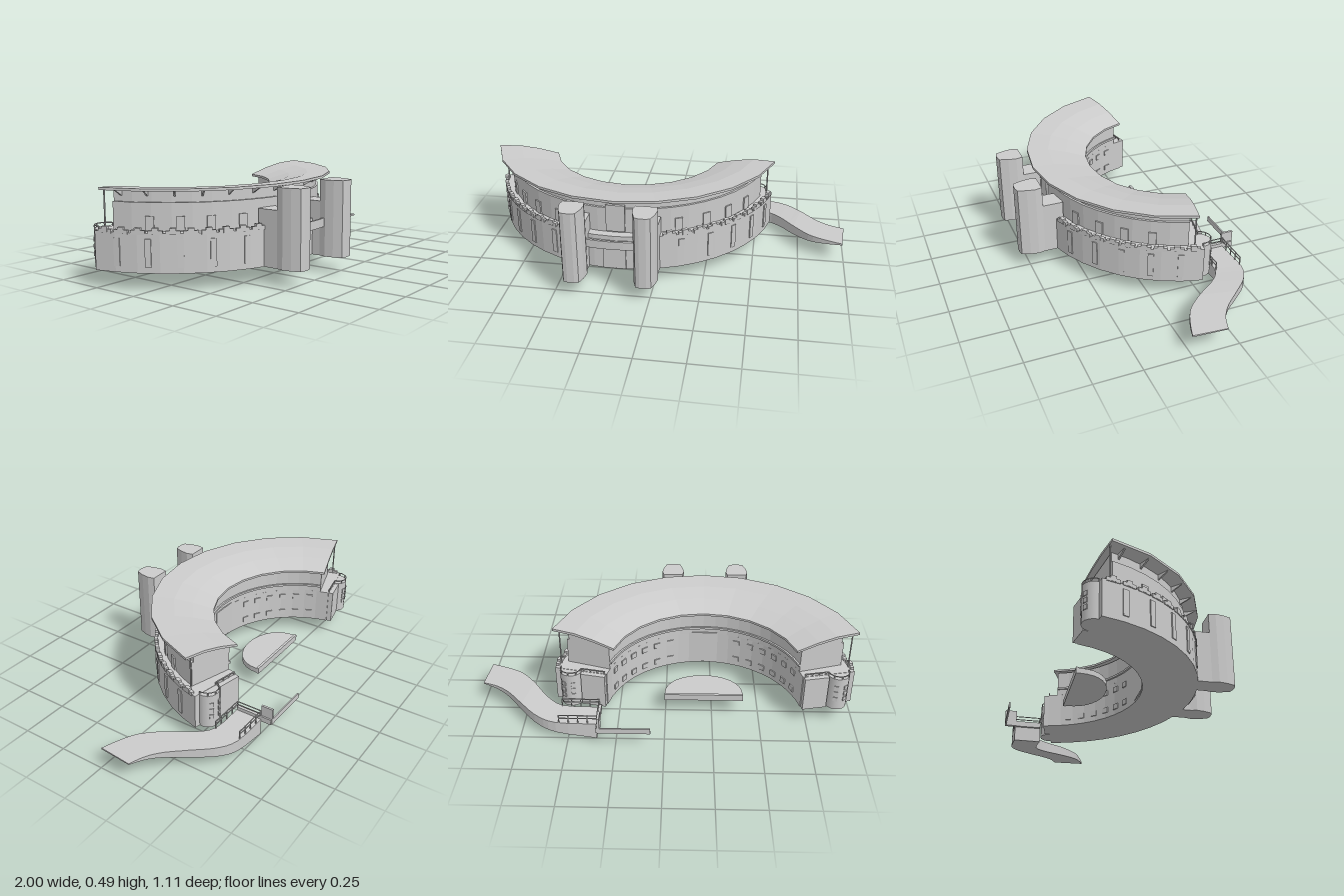
import * as THREE from 'three';

const material = new THREE.MeshStandardMaterial({ color: 0xcccccc, side: THREE.DoubleSide });
const CX = -0.205, CZ = -0.42; // centre of the crescent
const rad = THREE.MathUtils.degToRad;

function add(parent, name, geometry, x = 0, y = 0, z = 0) {
  const mesh = new THREE.Mesh(geometry, material);
  mesh.name = name;
  mesh.position.set(x, y, z);
  parent.add(mesh);
  return mesh;
}

// Flat-shaded solid through a row of equal cross-section loops, capped at both ends
function loft(loops, flatCap) {
  const pos = [];
  const tri = (...p) => p.forEach((v) => pos.push(...v));
  const n = loops[0].length;
  for (let k = 0; k < loops.length - 1; k++) {
    for (let i = 0; i < n; i++) {
      const j = (i + 1) % n;
      const a = loops[k][i], b = loops[k][j], c = loops[k + 1][j], d = loops[k + 1][i];
      tri(a, b, d);
      tri(b, c, d);
    }
  }
  const faces = THREE.ShapeUtils.triangulateShape(flatCap.map((p) => new THREE.Vector2(...p)), []);
  const first = loops[0], last = loops[loops.length - 1];
  for (const [a, b, c] of faces) {
    tri(first[c], first[b], first[a]);
    tri(last[a], last[b], last[c]);
  }
  const geometry = new THREE.BufferGeometry();
  geometry.setAttribute('position', new THREE.Float32BufferAttribute(pos, 3));
  geometry.computeVertexNormals();
  return geometry;
}

// Sweeps a counter-clockwise [radius, height] profile round the crescent, angles in degrees
function sector(profile, from, to, segments) {
  const loops = [];
  for (let k = 0; k <= segments; k++) {
    const t = rad(from + ((to - from) * k) / segments);
    loops.push(profile.map(([r, y]) => [r * Math.cos(t), y, r * Math.sin(t)]));
  }
  return loft(loops, profile);
}
const band = (r0, r1, y0, y1) => [[r0, y0], [r1, y0], [r1, y1], [r0, y1]];

// Places a part on the crescent with its own +z pointing outwards
function addRadial(parent, name, geometry, r, deg, y) {
  const t = rad(deg);
  const mesh = add(parent, name, geometry, r * Math.cos(t), y, r * Math.sin(t));
  mesh.rotation.y = Math.PI / 2 - t;
  return mesh;
}

// Upright prism from an [x, z] outline
function prism(outline, height) {
  const shape = new THREE.Shape(outline.map(([x, z]) => new THREE.Vector2(x, -z)));
  return new THREE.ExtrudeGeometry(shape, { depth: height, bevelEnabled: false }).rotateX(-Math.PI / 2);
}
const box = (w, h, d) => new THREE.BoxGeometry(w, h, d);

function createBuilding() {
  const g = new THREE.Group();
  g.name = 'crescentBuilding';
  g.position.set(CX, 0, CZ);

  // Storeys and roof
  add(g, 'lowerStorey', sector(band(0.52, 0.803, 0.085, 0.277), 11.5, 168.5, 20));
  add(g, 'upperStorey', sector([[0.52, 0.277], [0.757, 0.277], [0.757, 0.415], [0.52, 0.415]], 17, 163, 20));
  add(g, 'upperFrieze', sector([[0.52, 0.415], [0.745, 0.415], [0.745, 0.468], [0.52, 0.418]], 17, 163, 20));
  add(g, 'innerLedge', sector(band(0.51, 0.53, 0.31, 0.322), 17, 163, 20));
  add(g, 'roof', sector([
    [0.486, 0.412], [0.6, 0.445], [0.7, 0.466], [0.82, 0.475],
    [0.82, 0.488], [0.7, 0.48], [0.6, 0.459], [0.486, 0.424],
  ], 14.5, 165.5, 10));

  // Details mirrored on both wings
  for (const side of [1, -1]) {
    const at = (deg) => (side > 0 ? deg : 180 - deg);
    for (const deg of [20, 31, 42, 53, 65]) {
      addRadial(g, 'slitWindow', box(0.03, 0.135, 0.012), 0.801, at(deg), 0.182);
      if (deg > 20) addRadial(g, 'terraceDoor', box(0.042, 0.07, 0.014), 0.756, at(deg), 0.315);
    }
    for (let deg = 20; deg < 90; deg += 10) {
      // Triangular bracket under the eaves
      const fin = new THREE.Shape([[0, 0], [0.07, 0.035], [0, 0.035]].map((p) => new THREE.Vector2(...p)));
      const geometry = new THREE.ExtrudeGeometry(fin, { depth: 0.008, bevelEnabled: false })
        .translate(0, 0, -0.004).rotateY(-Math.PI / 2);
      addRadial(g, 'roofBracket', geometry, 0.742, at(deg), 0.442);
    }
    for (let deg = 13; deg < 72; deg += 6) {
      const a = at(deg), b = at(deg + 5);
      add(g, 'parapet', sector(band(0.788, 0.806, 0.27, 0.29), Math.min(a, b), Math.max(a, b), 1));
      addRadial(g, 'merlon', box(0.03, 0.03, 0.02), 0.797, at(deg + 2.5), 0.287);
    }
    for (let i = 0; i < 6; i++) {
      for (const y of [0.13, 0.235]) {
        addRadial(g, 'courtyardWindow', box(0.036, 0.03, 0.014), 0.52, at(24 + i * 9), y);
      }
    }
    addRadial(g, 'roofPost', new THREE.CylinderGeometry(0.004, 0.004, 0.2, 6), 0.785, at(15), 0.378);

    // Half-round turret on the wing's end wall
    const turret = new THREE.Group();
    turret.name = 'endTurret';
    const t = rad(at(11.5));
    turret.position.set(0.715 * Math.cos(t), 0, 0.715 * Math.sin(t));
    turret.rotation.y = -t;
    turret.scale.z = side;
    add(turret, 'turretWall', new THREE.CylinderGeometry(0.058, 0.058, 0.19, 16), 0, 0.18, 0);
    add(turret, 'turretRail', new THREE.TorusGeometry(0.055, 0.003, 4, 12, Math.PI).rotateX(-Math.PI / 2), 0, 0.292, 0);
    for (let i = 0; i < 5; i++) {
      const a = (i / 4) * Math.PI;
      add(turret, 'railPost', box(0.005, 0.02, 0.005), 0.055 * Math.cos(a), 0.282, -0.055 * Math.sin(a));
    }
    for (const a of [-0.45, 0.45]) {
      for (const y of [0.15, 0.185, 0.22]) {
        const w = add(turret, 'turretWindow', box(0.022, 0.024, 0.008), 0.057 * Math.sin(a), y, -0.057 * Math.cos(a));
        w.rotation.y = -a;
      }
    }
    add(turret, 'endRail', box(0.13, 0.005, 0.005), -0.12, 0.292, 0);
    add(turret, 'endBlock', box(0.13, 0.19, 0.03), -0.125, 0.18, -0.012);
    for (let i = 0; i < 4; i++) add(turret, 'railPost', box(0.005, 0.02, 0.005), -0.07 - i * 0.037, 0.282, 0);
    g.add(turret);
  }

  // Middle of the courtyard and of the front
  addRadial(g, 'courtyardPanel', box(0.16, 0.19, 0.016), 0.52, 90, 0.19);
  addRadial(g, 'entranceDoor', box(0.12, 0.14, 0.014), 0.802, 90, 0.16);
  addRadial(g, 'balconyDoor', box(0.1, 0.15, 0.014), 0.757, 90, 0.36);
  return g;
}

function createEntrance() {
  const g = new THREE.Group();
  g.name = 'entrance';
  // Pair of towers, each with a lower neck tucked under the eaves
  for (const x of [-0.4, -0.028]) {
    const half = [[0.055, 0.418], [0.063, 0.455], [0.056, 0.5], [0.04, 0.545], [0.018, 0.552]];
    const outline = [...half, ...half.map(([a, z]) => [-a, z]).reverse()];
    add(g, 'tower', prism(outline, 0.397), x, 0.085, 0);
    add(g, 'towerNeck', box(0.11, 0.285, 0.115), x, 0.2275, 0.365);
  }
  // Curved balcony between the towers
  add(g, 'balcony', sector(band(0.72, 0.875, 0.24, 0.252), 78, 102, 6), CX, 0, CZ);
  add(g, 'balconyParapet', sector(band(0.863, 0.875, 0.24, 0.285), 78, 102, 6), CX, 0, CZ);
  return g;
}

function createRamp() {
  const g = new THREE.Group();
  g.name = 'ramp';
  // Matching points along the two edges of the winding ramp
  const far = [[0.35, -0.5], [0.58, -0.495], [0.67, -0.45], [0.76, -0.36], [0.85, -0.26], [0.92, -0.21], [1.0, -0.18]];
  const near = [[0.35, -0.355], [0.55, -0.35], [0.63, -0.29], [0.72, -0.17], [0.81, -0.075], [0.9, -0.03], [0.985, 0]];
  const farCurve = new THREE.CatmullRomCurve3(far.map(([x, z]) => new THREE.Vector3(x, 0, z)));
  const nearCurve = new THREE.CatmullRomCurve3(near.map(([x, z]) => new THREE.Vector3(x, 0, z)));
  const loops = [];
  for (let i = 0; i <= 20; i++) {
    const s = i / 20, a = farCurve.getPoint(s), b = nearCurve.getPoint(s);
    const top = 0.092 + 0.022 * Math.min(1, s * 2);
    const bottom = (x) => Math.max(0, ((x - 0.35) / 0.65) * 0.108);
    loops.push([[a.x, bottom(a.x), a.z], [a.x, top, a.z], [b.x, top, b.z], [b.x, bottom(b.x), b.z]]);
  }
  add(g, 'rampBody', loft(loops, [[0, 0], [0, 1], [1, 1], [1, 0]]));

  // Railings at the landing, end wall and low garden wall
  for (const z of [-0.357, -0.497]) {
    for (const y of [0.125, 0.143]) add(g, 'rampRail', box(0.2, 0.004, 0.004), 0.445, y, z);
    for (let i = 0; i < 5; i++) add(g, 'rampPost', box(0.005, 0.05, 0.005), 0.347 + i * 0.049, 0.12, z);
  }
  for (const y of [0.125, 0.143]) add(g, 'landingRail', box(0.004, 0.004, 0.14), 0.347, y, -0.427);
  add(g, 'landingEdge', box(0.015, 0.03, 0.2), 0.342, 0.095, -0.457);
  add(g, 'endWall', box(0.012, 0.09, 0.065), 0.335, 0.125, -0.5275);
  add(g, 'gardenWall', box(0.27, 0.03, 0.008), 0.205, 0.095, -0.556);
  return g;
}

function createStage() {
  const g = new THREE.Group();
  g.name = 'courtyardStage';
  const outline = [];
  for (let i = 0; i <= 16; i++) {
    const a = (i / 16) * Math.PI;
    outline.push([CX + 0.21 * Math.cos(a), -0.262 + 0.18 * Math.sin(a) ** 0.85]);
  }
  add(g, 'stageFloor', prism(outline, 0.028), 0, 0.087, 0);
  add(g, 'stageWall', box(0.422, 0.035, 0.014), CX, 0.1025, -0.267);
  return g;
}

export function createModel() {
  const model = new THREE.Group();
  model.name = 'crescentHall';
  model.add(createBuilding(), createEntrance(), createRamp(), createStage());
  return model;
}
